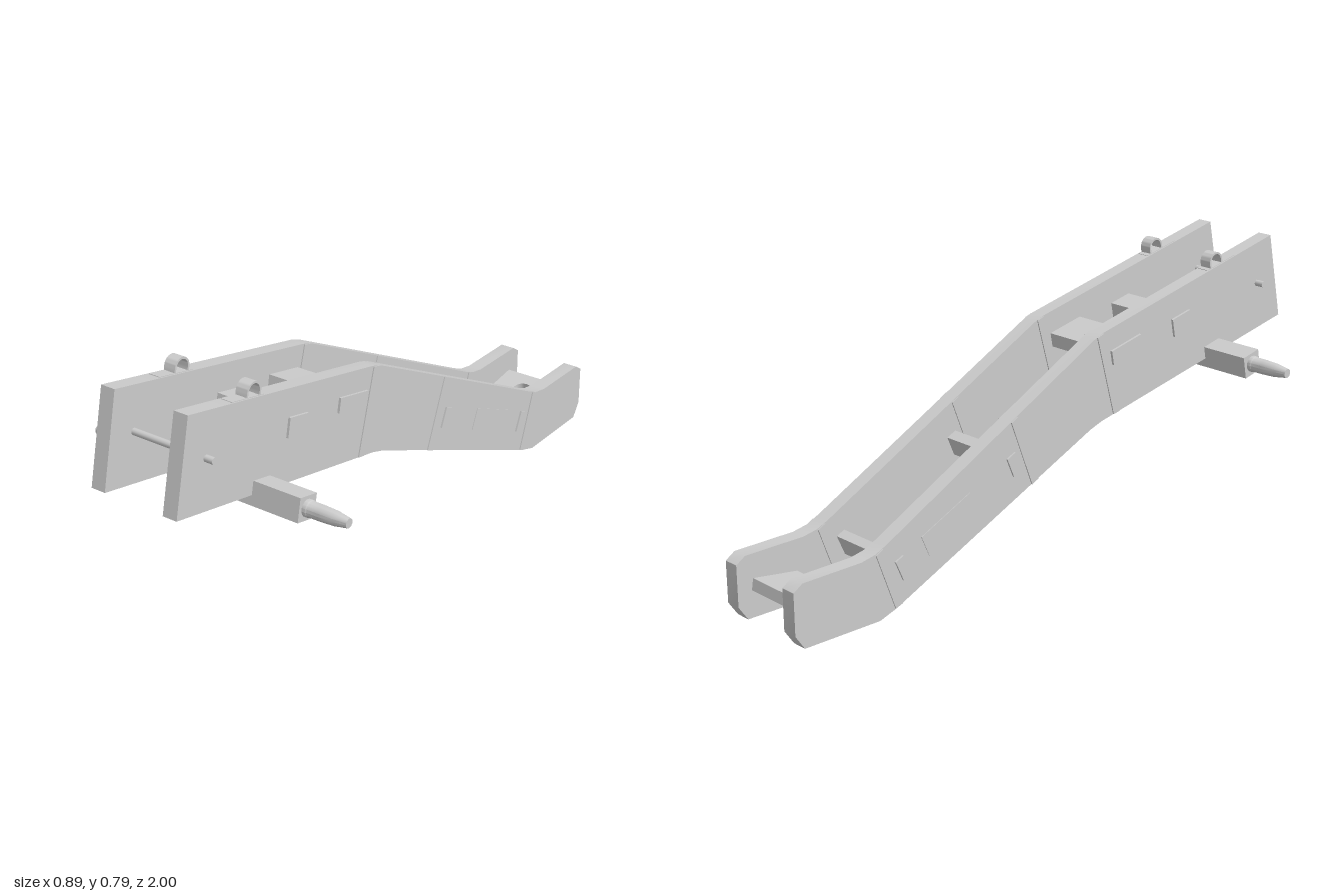
import * as THREE from 'three';
import { toCreasedNormals } from 'three/addons/utils/BufferGeometryUtils.js';

const RAIL_X = 0.124, RAIL_W = 0.047;
const UPPER = 0.2, LOWER = 0.41; // slopes of the upper and lower frame sections, radians

export function createModel() {
  const model = new THREE.Group();
  const mat = new THREE.MeshStandardMaterial({ color: 0xcccccc });

  function add(name, geo, x = 0, y = 0, z = 0, tilt = 0) {
    const mesh = new THREE.Mesh(geo, mat);
    mesh.name = name;
    mesh.position.set(x, y, z);
    mesh.rotation.x = -tilt; // positive tilt raises the front
    model.add(mesh);
    return mesh;
  }
  const box = (name, size, pos, tilt) => add(name, new THREE.BoxGeometry(...size), ...pos, tilt);

  // Extrudes a side profile given as (z, y) across x
  function sidePlate(shape, width, segments = 8) {
    const geo = new THREE.ExtrudeGeometry(shape, { depth: width, bevelEnabled: false, curveSegments: segments });
    geo.translate(0, 0, -width / 2);
    geo.rotateY(-Math.PI / 2);
    return toCreasedNormals(geo, 0.6);
  }
  const outline = (pts) => new THREE.Shape(pts.map(([z, y]) => new THREE.Vector2(z, y)));

  const rail = outline([
    [1.0, 0.515], [0.94, 0.79], [0.17, 0.634], [0.13, 0.62], [-0.68, 0.22], [-0.72, 0.203], [-0.77, 0.195],
    [-0.97, 0.199], [-1.0, 0.18], [-1.0, 0.055], [-0.97, 0.01], [-0.71, 0.002], [-0.65, 0.02],
    [0.12, 0.345], [0.17, 0.36],
  ]);
  const straps = [
    [[0.242, 0.374], [0.216, 0.37], [0.142, 0.624], [0.168, 0.632]],
    [[-0.102, 0.252], [-0.128, 0.241], [-0.21, 0.45], [-0.186, 0.462]],
    [[-0.63, 0.03], [-0.655, 0.022], [-0.72, 0.2], [-0.695, 0.212]],
  ];

  // Half-round loop that sits on the rail's top edge
  const loop = new THREE.Shape();
  loop.moveTo(0.029, -0.012);
  loop.lineTo(0.029, 0);
  loop.absarc(0, 0, 0.029, 0, Math.PI, false);
  loop.lineTo(-0.029, -0.012);
  loop.lineTo(-0.023, -0.012);
  loop.lineTo(-0.023, 0);
  loop.absarc(0, 0, 0.023, Math.PI, 0, true);
  loop.lineTo(0.023, -0.012);

  // Tapered axle end, turned around its own length
  const spindle = new THREE.LatheGeometry([
    [0, 0], [0.025, 0], [0.025, 0.012], [0.023, 0.015], [0.023, 0.05], [0.021, 0.095],
    [0.017, 0.118], [0.014, 0.138], [0, 0.138],
  ].map(([r, h]) => new THREE.Vector2(r, h)), 16);

  for (const s of [1, -1]) {
    const side = s > 0 ? 'left' : 'right';
    add(side + 'Rail', sidePlate(rail, RAIL_W), s * RAIL_X);
    for (const pts of straps) add(side + 'RailStrap', sidePlate(outline(pts), 0.054), s * RAIL_X);
    box(side + 'RailPanel', [0.003, 0.07, 0.2], [s * 0.148, 0.212, -0.45], LOWER);
    add(side + 'CableLoop', sidePlate(loop, 0.038, 12), s * RAIL_X, 0.752, 0.68, UPPER);
    box(side + 'LoopBase', [0.038, 0.006, 0.13], [s * RAIL_X, 0.741, 0.705], UPPER);
    const end = add(side + 'Spindle', toCreasedNormals(spindle, 0.6), s * 0.305, 0.46, 0.672);
    end.rotation.z = -s * Math.PI / 2;
  }

  // Cross members passing through both rails
  box('frontCrossMember', [0.31, 0.058, 0.08], [0, 0.59, 0.515], UPPER);
  box('bendCrossMember', [0.31, 0.045, 0.13], [0, 0.562, 0.268], UPPER);
  box('middleCrossMember', [0.306, 0.065, 0.035], [0, 0.322, -0.2], LOWER);
  box('rearCrossMember', [0.306, 0.068, 0.03], [0, 0.135, -0.626], LOWER);

  // Axle beam and front pin
  box('axleBeam', [0.612, 0.07, 0.07], [0, 0.459, 0.672], UPPER);
  const pin = new THREE.CylinderGeometry(0.01, 0.01, 0.352, 12);
  pin.rotateZ(Math.PI / 2);
  add('frontPin', pin, 0, 0.645, 0.88);

  // Hitch plate with a round hole
  const plate = outline([[-0.104, -0.076], [0.104, -0.076], [0.104, 0.076], [-0.104, 0.076]]);
  const hole = new THREE.Path();
  hole.absarc(0, 0, 0.029, 0, Math.PI * 2, true);
  plate.holes.push(hole);
  const plateGeo = new THREE.ExtrudeGeometry(plate, { depth: 0.035, bevelEnabled: false, curveSegments: 10 });
  plateGeo.translate(0, 0, -0.0175);
  plateGeo.rotateX(-Math.PI / 2);
  add('hitchPlate', toCreasedNormals(plateGeo, 0.7), 0, 0.096, -0.875, -0.17);

  return model;
}
